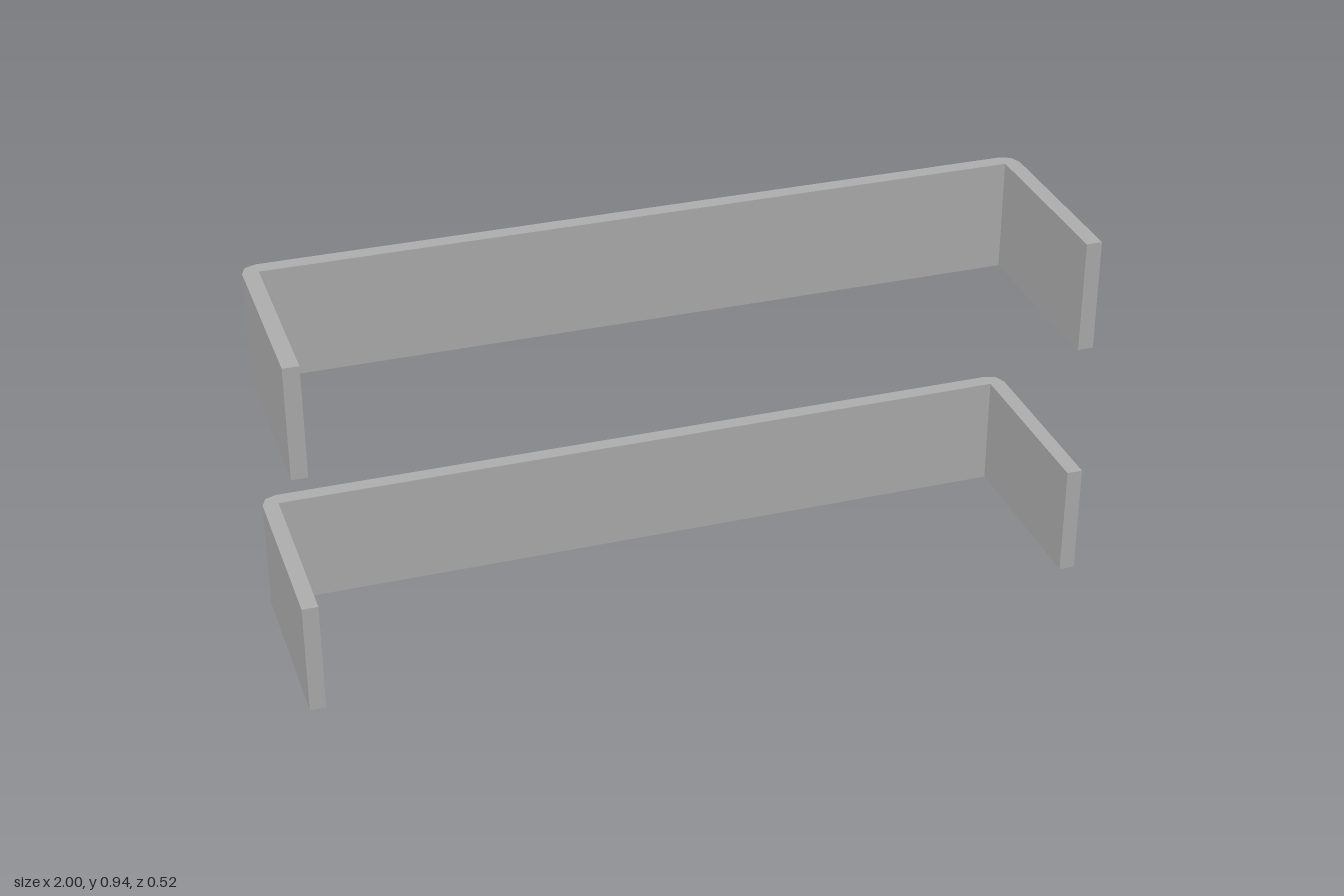
import * as THREE from 'three';

const W = 1, D = 0.26, T = 0.04; // half width, half depth, strap thickness
const HEIGHT = 0.29;

// U-shaped outline, open to the front (shape y points to the back)
function bracketShape() {
  const s = new THREE.Shape();
  s.moveTo(W, -D);
  s.lineTo(W, D - T);
  s.absarc(W - T, D - T, T, 0, Math.PI / 2, false);
  s.lineTo(-W + T, D);
  s.absarc(-W + T, D - T, T, Math.PI / 2, Math.PI, false);
  s.lineTo(-W, -D);
  s.lineTo(-W + T, -D);
  s.lineTo(-W + T, D - T);
  s.lineTo(W - T, D - T);
  s.lineTo(W - T, -D);
  s.closePath();
  return s;
}

export function createModel() {
  const group = new THREE.Group();
  group.name = 'bracketPair';
  const grey = new THREE.MeshStandardMaterial({ color: 0xb0b0b0 });
  grey.name = 'grey metal';

  // curveSegments 1 gives two facets per rounded corner
  const geometry = new THREE.ExtrudeGeometry(bracketShape(), {
    depth: HEIGHT, bevelEnabled: false, curveSegments: 1,
  });
  geometry.rotateX(-Math.PI / 2);

  // Two identical straps, one above the other
  for (const [name, y] of [['lowerBracket', 0], ['upperBracket', 0.645]]) {
    const mesh = new THREE.Mesh(geometry, grey);
    mesh.name = name;
    mesh.position.y = y;
    group.add(mesh);
  }
  return group;
}
